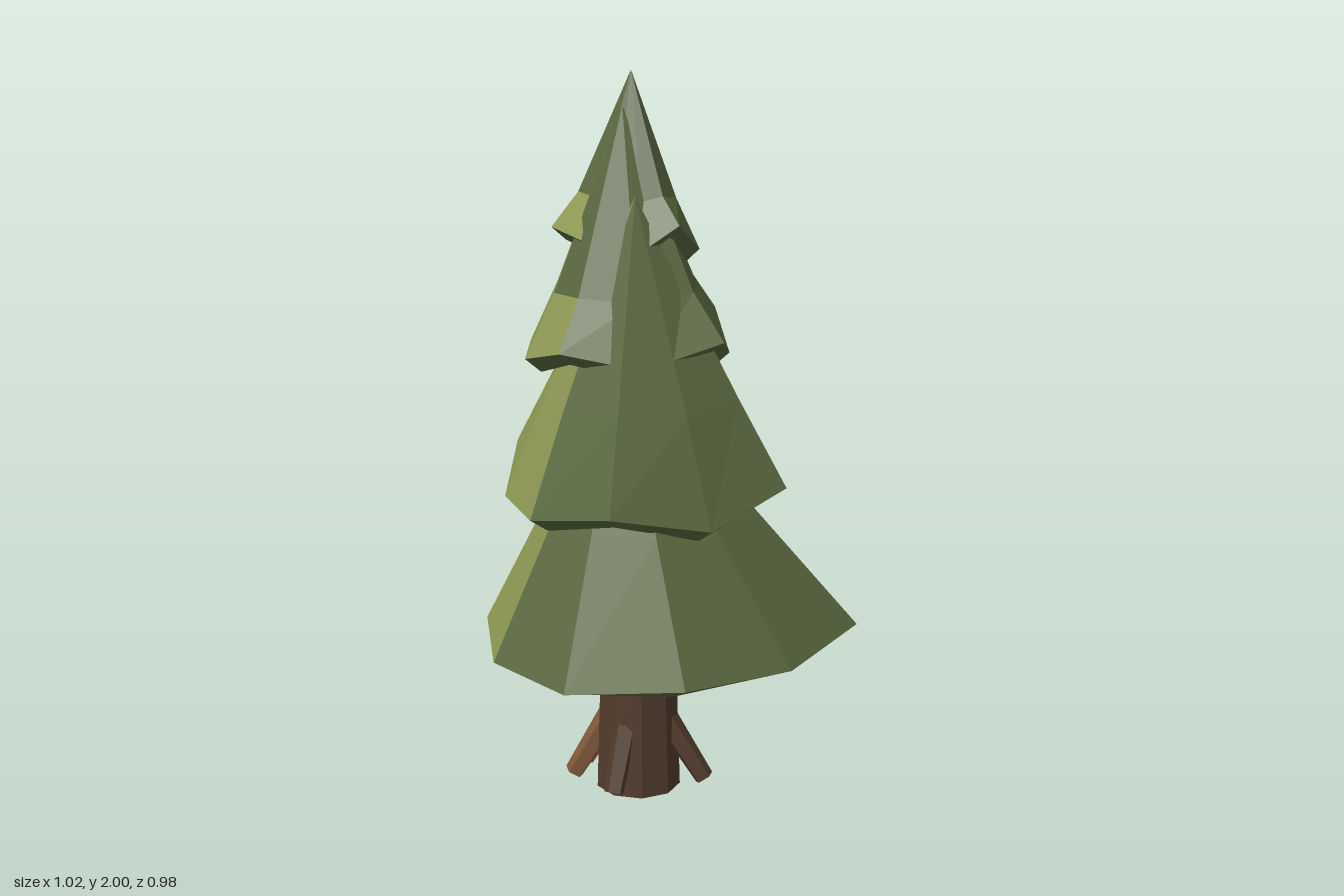
import * as THREE from 'three';

const mat = (name, color) => {
  const m = new THREE.MeshStandardMaterial({ color, flatShading: true });
  m.name = name;
  return m;
};

// Each tier: apex, rim corners (from the back, round by -x, to the front and +x),
// inner ring as [height, scale towards the apex], how many facets are olive,
// the facet that is green above the ring, and the height of the lip's lower edge.
const TIERS = [
  {
    name: 'bottomBranches', apex: [-0.04, 1.3, 0.07], ring: [0.85, 0.54], olive: 3,
    lip: 0.78, lipHeight: (y) => 0.42 + 0.6 * (y - 0.45),
    rim: [[-0.23, 0.57, -0.49], [-0.51, 0.56, -0.2], [-0.44, 0.47, 0.17], [-0.23, 0.46, 0.41], [0.06, 0.46, 0.485],
      [0.41, 0.535, 0.44], [0.51, 0.5, 0.09], [0.49, 0.51, -0.28], [0.14, 0.45, -0.38]],
  },
  {
    name: 'lowerMiddleBranches', apex: [-0.03, 1.69, 0.03], ring: [1.16, 0.68], olive: 4,
    lip: 0.84, lipHeight: (y) => y - 0.04,
    rim: [[-0.08, 0.97, -0.44], [-0.37, 0.92, -0.27], [-0.465, 0.94, -0.015], [-0.33, 0.86, 0.22], [-0.13, 0.87, 0.37],
      [0.155, 0.935, 0.41], [0.315, 0.87, 0.18], [0.375, 0.93, -0.09], [0.18, 0.87, -0.27]],
  },
  {
    name: 'upperMiddleBranches', apex: [-0.12, 1.91, -0.04], ring: [1.43, 0.7], olive: 5, greenUpper: 4,
    lip: 0.84, lipHeight: (y) => y - 0.04,
    rim: [[-0.04, 1.31, -0.37], [-0.25, 1.26, -0.31], [-0.42, 1.3, -0.18], [-0.38, 1.25, 0.03], [-0.27, 1.25, 0.2],
      [-0.09, 1.31, 0.29], [0.1, 1.27, 0.18], [0.22, 1.32, -0.02], [0.1, 1.23, -0.23]],
  },
  {
    name: 'topBranches', apex: [-0.12, 2, -0.08], ring: [1.675, 0.66], olive: 4, greenUpper: 3,
    lip: 0.82, lipHeight: (y) => y - 0.035,
    rim: [[-0.14, 1.6, -0.295], [-0.26, 1.55, -0.21], [-0.34, 1.61, -0.1], [-0.29, 1.58, 0.05], [-0.16, 1.57, 0.1],
      [-0.07, 1.57, 0.09], [0.02, 1.56, 0.05], [0.09, 1.62, 0], [0.06, 1.53, -0.14]],
  },
];

// Faceted skirt with an angled lip and closed underside
function tierGeometry(t) {
  const n = t.rim.length;
  const apex = new THREE.Vector3(...t.apex);
  const rim = t.rim.map((p) => new THREE.Vector3(...p));
  const mean = rim.reduce((s, p) => s + p.y, 0) / n;
  const scaled = (k, height) => rim.map((p) => p.clone().lerp(apex, 1 - k).setY(height(p.y)));
  const ring = scaled(t.ring[1], (y) => t.ring[0] + 0.25 * (y - mean));
  const under = scaled(t.lip, t.lipHeight);
  const centre = new THREE.Vector3(apex.x, t.lipHeight(mean), apex.z);
  const parts = [[], []];
  const tri = (m, a, b, c) => [a, b, c].forEach((p) => parts[m].push(p.x, p.y, p.z));

  for (let i = 0; i < n; i++) {
    const j = (i + 1) % n;
    const m = i < t.olive ? 1 : 0;
    tri(m, rim[i], rim[j], ring[j]);
    tri(m, rim[i], ring[j], ring[i]);
    tri(i === t.greenUpper ? 0 : m, ring[i], ring[j], apex);
    tri(0, under[i], under[j], rim[j]);
    tri(0, under[i], rim[j], rim[i]);
    tri(0, centre, under[j], under[i]);
  }
  const g = new THREE.BufferGeometry();
  g.setAttribute('position', new THREE.Float32BufferAttribute(parts.flat(), 3));
  g.addGroup(0, parts[0].length / 3, 0);
  g.addGroup(parts[0].length / 3, parts[1].length / 3, 1);
  g.computeVertexNormals();
  return g;
}

export function createModel() {
  const green = mat('dark green needles', 0x5a6840);
  const olive = mat('light olive needles', 0x8f9955);
  const darkBark = mat('dark brown bark', 0x523c2d);
  const lightBark = mat('light brown bark', 0x80583a);

  const tree = new THREE.Group();
  tree.name = 'pineTree';

  for (const t of TIERS) {
    const mesh = new THREE.Mesh(tierGeometry(t), [green, olive]);
    mesh.name = t.name;
    tree.add(mesh);
  }

  // Trunk: a dark side and a light side, closed by a flat base
  const trunk = new THREE.Group();
  trunk.name = 'trunk';
  trunk.position.set(-0.055, 0, -0.015);
  const facet = (Math.PI * 2) / 9;
  for (const [name, material, first, count] of [['darkSide', darkBark, -1, 6], ['lightSide', lightBark, 5, 3]]) {
    const geo = new THREE.CylinderGeometry(0.1, 0.118, 0.6, count, 1, true, first * facet, count * facet);
    const side = new THREE.Mesh(geo.translate(0, 0.3, 0), material);
    side.name = name;
    trunk.add(side);
  }
  const base = new THREE.Mesh(new THREE.CircleGeometry(0.118, 9, -Math.PI / 2).rotateX(Math.PI / 2), darkBark);
  base.name = 'trunkBase';
  trunk.add(base);
  tree.add(trunk);

  // Splayed roots: [angle, reach, bark]
  const roots = new THREE.Group();
  roots.name = 'roots';
  roots.position.copy(trunk.position);
  const up = new THREE.Vector3(0, 1, 0);
  for (const [deg, reach, material] of [[80, 0.16, darkBark], [145, 0.18, lightBark], [182, 0.18, lightBark],
    [245, 0.17, lightBark], [338, 0.19, darkBark]]) {
    const a = THREE.MathUtils.degToRad(deg);
    const at = (r, y) => new THREE.Vector3(r * Math.cos(a), y, r * Math.sin(a));
    const foot = at(reach, 0.03);
    const top = at(0.08, 0.2);
    const dir = top.clone().sub(foot);
    const root = new THREE.Mesh(new THREE.CylinderGeometry(0.036, 0.028, dir.length(), 5), material);
    root.name = 'root';
    root.position.copy(foot).add(top).multiplyScalar(0.5);
    root.quaternion.setFromUnitVectors(up, dir.normalize());
    roots.add(root);
  }
  tree.add(roots);
  return tree;
}
